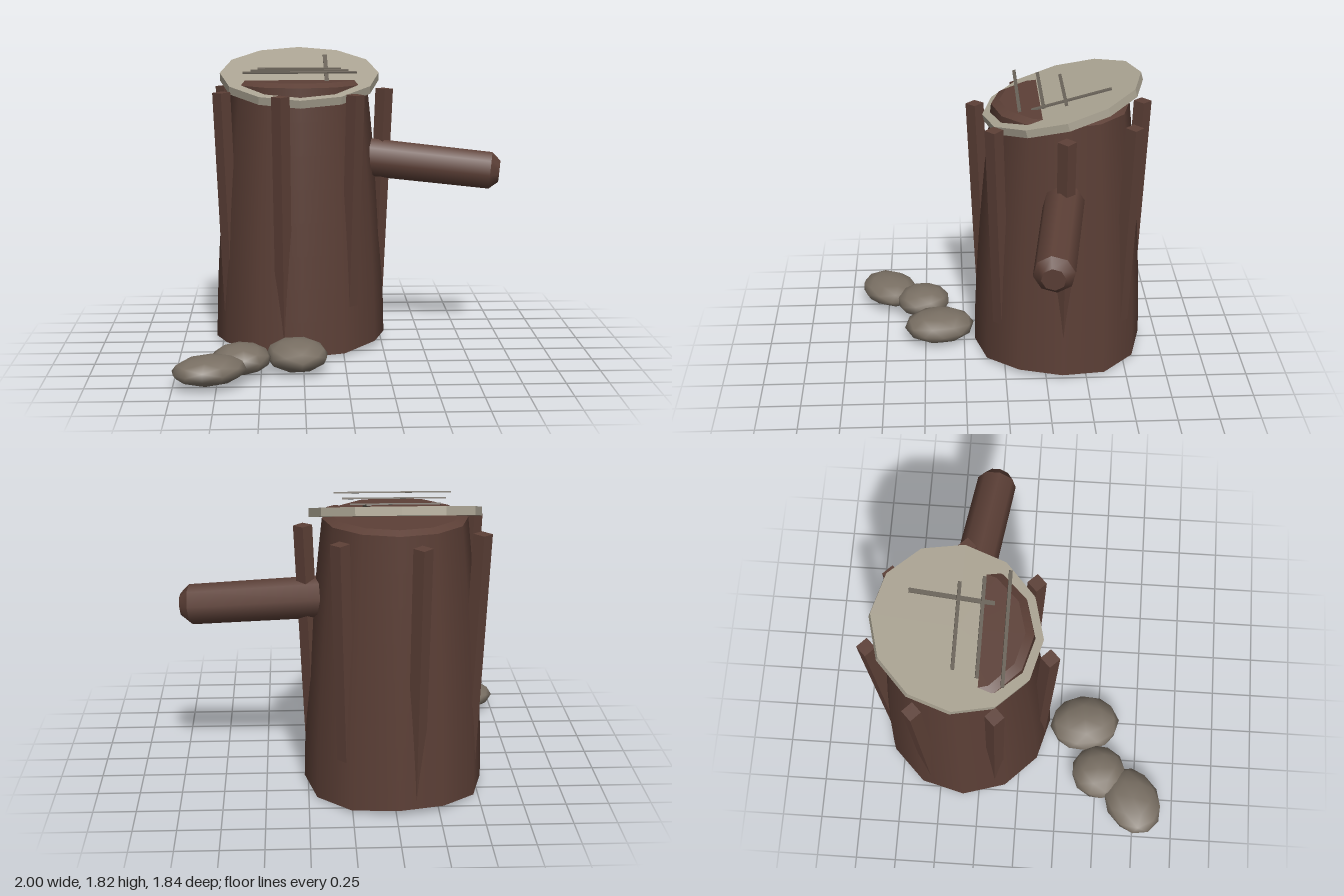
import * as THREE from 'three';

const material = (name, color) => {
  const m = new THREE.MeshStandardMaterial({ color });
  m.name = name;
  return m;
};

export function createModel() {
  const bark = material('bark brown', 0x5d4037);
  const stone = material('pale slab', 0xaba493);
  const rock = material('rock grey', 0x7a7064);
  const etch = material('carving grey', 0x6b645a);

  const group = new THREE.Group();
  group.name = 'stump';
  const CX = -0.26, CZ = -0.35;

  const add = (name, geometry, mat, x = 0, y = 0, z = 0) => {
    const mesh = new THREE.Mesh(geometry, mat);
    mesh.name = name;
    mesh.position.set(x, y, z);
    group.add(mesh);
    return mesh;
  };

  // Cylinder running from point a to point b
  const up = new THREE.Vector3(0, 1, 0);
  const rod = (name, a, b, rA, rB, sides, flat) => {
    const dir = b.clone().sub(a);
    let geo = new THREE.CylinderGeometry(rB, rA, dir.length(), sides);
    if (flat) {
      geo = geo.toNonIndexed();
      geo.computeVertexNormals();
    }
    const mid = a.clone().add(b).multiplyScalar(0.5);
    const mesh = add(name, geo, bark, mid.x, mid.y, mid.z);
    mesh.quaternion.setFromUnitVectors(up, dir.normalize());
  };

  // Trunk: bulging taper with an uneven foot
  const H = 1.61;
  const trunk = new THREE.CylinderGeometry(1, 1, H, 12, 8);
  const p = trunk.attributes.position;
  for (let i = 0; i < p.count; i++) {
    const x = p.getX(i), z = p.getZ(i);
    const t = THREE.MathUtils.clamp(p.getY(i) / H + 0.5, 0, 1);
    const r = 0.532 - 0.112 * Math.pow(t, 1.6);
    const onFoot = t < 0.01 && Math.hypot(x, z) > 0.5;
    const wobble = onFoot ? 0.018 * Math.sin(3 * Math.atan2(z, x) + 0.6) : 0;
    p.setXYZ(i, x * r, t * H + 0.03 + wobble, z * r);
  }
  add('trunk', trunk, bark, CX, 0, CZ);
  add('trunkTopBevel', new THREE.CylinderGeometry(0.37, 0.42, 0.025, 12), bark, CX, 1.652, CZ);

  // Bark strips standing away from the trunk at the top and sinking in lower down
  for (let i = 0; i < 7; i++) {
    const a = (i * Math.PI * 2) / 7;
    const at = (r, y) => new THREE.Vector3(CX + Math.cos(a) * r, y, CZ + Math.sin(a) * r);
    rod('barkStrip', at(0.464, 0.06), at(0.53, 1.6), 0.05, 0.055, 4, true);
  }

  // Side branch with a chamfered tip
  const from = new THREE.Vector3(0.1, 1.175, -0.355);
  const to = new THREE.Vector3(0.93, 1.095, -0.235);
  const tip = to.clone().addScaledVector(to.clone().sub(from).normalize(), 0.055);
  rod('branch', from, to, 0.125, 0.12, 8, false);
  rod('branchTip', to, tip, 0.12, 0.07, 8, false);

  // Tilted slab resting on the trunk
  const TILT = Math.PI / 12;
  const slabGeo = new THREE.CylinderGeometry(0.495, 0.495, 0.05, 12).toNonIndexed();
  slabGeo.computeVertexNormals();
  add('slab', slabGeo, stone, CX, 1.676, -0.361).rotation.x = TILT;

  // Thin carved bars above the slab: [z, length]
  for (const [z, len] of [[-0.365, 0.52], [-0.228, 0.6], [-0.085, 0.69]]) {
    add('crossBar', new THREE.BoxGeometry(len, 0.009, 0.02), etch, CX, 1.723, z).rotation.x = TILT;
  }
  add('longBar', new THREE.BoxGeometry(0.026, 0.009, 0.505), etch, -0.094, 1.722, -0.395).rotation.x = TILT;

  // Flattened rocks: centre, radii, turn
  const rocks = [
    [[-0.29, 0.1, 0.41], [0.185, 0.093, 0.225], 0.15],
    [[-0.615, 0.11, 0.515], [0.175, 0.09, 0.175], 0.7],
    [[-0.79, 0.107, 0.74], [0.225, 0.083, 0.175], 0.5],
  ];
  for (const [centre, radii, turn] of rocks) {
    const mesh = add('rock', new THREE.IcosahedronGeometry(1, 1), rock, ...centre);
    mesh.scale.set(...radii);
    mesh.rotation.y = turn;
  }

  return group;
}
